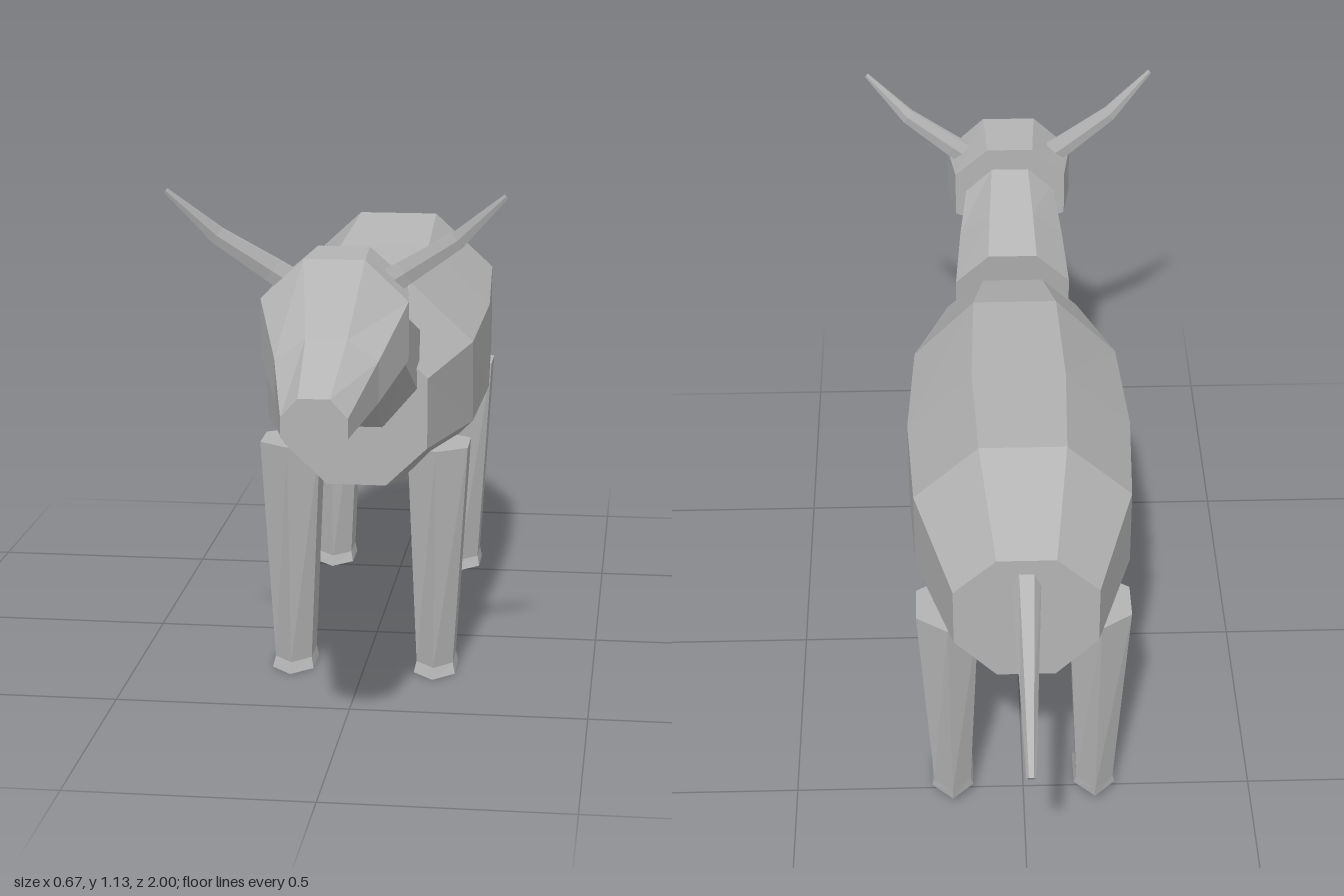
import * as THREE from 'three';

const hide = new THREE.MeshStandardMaterial({ color: 0xb4b4b4, flatShading: true });
hide.name = 'grey hide';

// Closed skin over rings of points, each ring counter-clockwise about the direction of travel
function loft(name, rings) {
  const n = rings[0].length;
  const pos = [];
  const tri = (...pts) => pts.forEach((p) => pos.push(p.x, p.y, p.z));
  for (let r = 0; r < rings.length - 1; r++) {
    const a = rings[r], b = rings[r + 1];
    for (let i = 0; i < n; i++) {
      const j = (i + 1) % n;
      tri(a[i], a[j], b[j]);
      tri(a[i], b[j], b[i]);
    }
  }
  const first = rings[0], last = rings[rings.length - 1];
  for (let i = 1; i < n - 1; i++) {
    tri(first[0], first[i + 1], first[i]);
    tri(last[0], last[i], last[i + 1]);
  }
  const geometry = new THREE.BufferGeometry();
  geometry.setAttribute('position', new THREE.Float32BufferAttribute(pos, 3));
  geometry.computeVertexNormals();
  const mesh = new THREE.Mesh(geometry, hide);
  mesh.name = name;
  return mesh;
}

// Eight-cornered cross-section; z runs from zTop at the top to zBot at the bottom
function octagon([zTop, zBot, top, high, low, bottom, wTop, wSide, wBot]) {
  const at = (x, y) => new THREE.Vector3(x, y, THREE.MathUtils.mapLinear(y, top, bottom, zTop, zBot));
  return [at(wSide, high), at(wTop, top), at(-wTop, top), at(-wSide, high),
    at(-wSide, low), at(-wBot, bottom), at(wBot, bottom), at(wSide, low)];
}

// Six-sided limb along a path of [x, y, z, radiusU, radiusV]
function limb(name, path, u, direction, phase = 0) {
  const v = direction.clone().normalize().cross(u).normalize();
  return loft(name, path.map(([x, y, z, ru, rv]) => Array.from({ length: 6 }, (_, i) => {
    const a = phase + i * Math.PI / 3;
    return new THREE.Vector3(x, y, z)
      .addScaledVector(u, ru * Math.cos(a))
      .addScaledVector(v, rv * Math.sin(a));
  })));
}

export function createModel() {
  const model = new THREE.Group();
  model.name = 'hornedAnimal';
  const X = new THREE.Vector3(1, 0, 0);
  const Y = new THREE.Vector3(0, 1, 0);
  const Z = new THREE.Vector3(0, 0, 1);

  // Barrel body, rump to chest
  model.add(loft('body', [
    [-0.69, -0.69, 0.81, 0.73, 0.6, 0.51, 0.06, 0.147, 0.06],
    [-0.44, -0.44, 0.9, 0.775, 0.6, 0.475, 0.09, 0.225, 0.09],
    [-0.15, -0.15, 0.873, 0.742, 0.55, 0.418, 0.1, 0.24, 0.1],
    [0.16, 0.12, 0.85, 0.72, 0.54, 0.41, 0.092, 0.226, 0.095],
    [0.38, 0.38, 0.775, 0.69, 0.54, 0.457, 0.063, 0.15, 0.063],
  ].map(octagon)));

  // Neck, rising from the shoulders into the head
  model.add(loft('neck', [
    [0.33, 0.37, 0.86, 0.785, 0.655, 0.575, 0.055, 0.13, 0.055],
    [0.44, 0.52, 0.9, 0.835, 0.745, 0.7, 0.05, 0.118, 0.05],
    [0.57, 0.61, 0.95, 0.9, 0.81, 0.755, 0.042, 0.1, 0.042],
  ].map(octagon)));

  // Head, poll to muzzle
  model.add(loft('head', [
    [0.565, 0.565, 1.0, 0.935, 0.83, 0.8, 0.052, 0.127, 0.05],
    [0.71, 0.71, 1.0, 0.92, 0.805, 0.73, 0.06, 0.145, 0.055],
    [0.83, 0.83, 0.868, 0.828, 0.747, 0.7, 0.04, 0.1, 0.042],
    [1.0, 1.0, 0.793, 0.757, 0.718, 0.682, 0.03, 0.063, 0.027],
  ].map(octagon)));

  for (const s of [1, -1]) {
    const side = s > 0 ? 'left' : 'right';

    // Flat, curved horns
    model.add(limb(side + 'Horn', [
      [s * 0.07, 0.925, 0.64, 0.014, 0.032],
      [s * 0.13, 0.965, 0.647, 0.012, 0.028],
      [s * 0.235, 1.035, 0.667, 0.009, 0.02],
      [s * 0.33, 1.127, 0.7, 0.003, 0.006],
    ], Z, new THREE.Vector3(s * 0.8, 0.6, 0)));

    // Tapered legs with a small flared hoof
    for (const [label, y0, z, top] of [['Front', 0, 0.207, 0.51], ['Hind', 0.03, -0.485, 0.535]]) {
      const hind = label === 'Hind' ? -0.012 : 0;
      model.add(limb(side + label + 'Leg', [
        [s * 0.156, y0, z + 0.008, 0.052, 0.088],
        [s * 0.156, y0 + 0.022, z, 0.046, 0.081],
        [s * 0.16, top, z + hind, 0.075, 0.088],
      ], X, Y, Math.PI / 6));
    }
  }

  // Tail, drooping behind the rump
  model.add(limb('tail', [
    [0, 0.765, -0.66, 0.031, 0.03],
    [0, 0.62, -0.87, 0.018, 0.022],
    [0, 0.515, -0.995, 0.01, 0.01],
  ], X, new THREE.Vector3(0, -0.25, -0.34)));

  return model;
}
